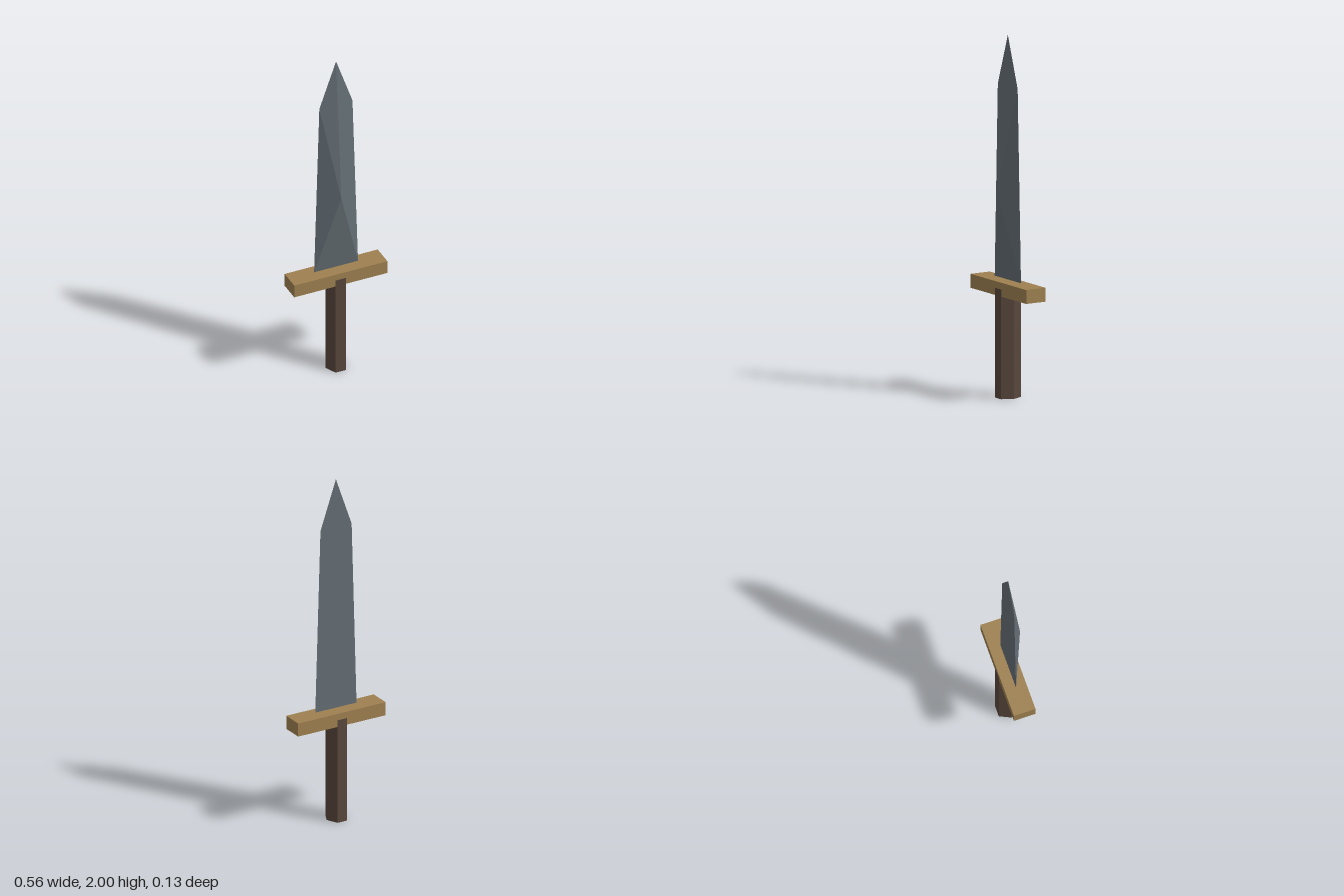
import * as THREE from 'three';

const material = (name, color) => {
  const m = new THREE.MeshStandardMaterial({ color, flatShading: true });
  m.name = name;
  return m;
};

// Blade: a flat five-sided outline at the back, rising to one point in front
function bladeGeometry() {
  const back = -0.002;
  const outline = [[-0.131, 0.65], [0.131, 0.65], [0.098, 1.715], [0, 2], [-0.1, 1.715]]
    .map(([x, y]) => new THREE.Vector3(x, y, back));
  const peak = new THREE.Vector3(0, 1.14, 0.066);
  const points = [];
  outline.forEach((p, i) => points.push(peak, p, outline[(i + 1) % outline.length]));
  for (let i = 1; i < outline.length - 1; i++) points.push(outline[0], outline[i + 1], outline[i]);
  const geometry = new THREE.BufferGeometry().setFromPoints(points);
  geometry.computeVertexNormals();
  return geometry;
}

export function createModel() {
  const group = new THREE.Group();
  group.name = 'dagger';
  const add = (name, geometry, mat, x, y, z) => {
    const mesh = new THREE.Mesh(geometry, mat);
    mesh.name = name;
    mesh.position.set(x, y, z);
    group.add(mesh);
  };

  add('blade', bladeGeometry(), material('steel', 0x646e74), 0, 0, 0);

  // Crossguard bar
  add('crossguard', new THREE.BoxGeometry(0.556, 0.077, 0.124), material('brass', 0x9e8050), 0, 0.604, -0.003);

  // Six-sided grip with flat faces to front and back, just proud of the guard
  const grip = new THREE.CylinderGeometry(0.0605, 0.0605, 0.605, 6);
  grip.rotateY(Math.PI / 6);
  grip.scale(1, 1, 0.0637 / (0.0605 * Math.cos(Math.PI / 6)));
  add('grip', grip, material('dark wood', 0x58473c), -0.0013, 0.3025, -0.003);

  return group;
}
